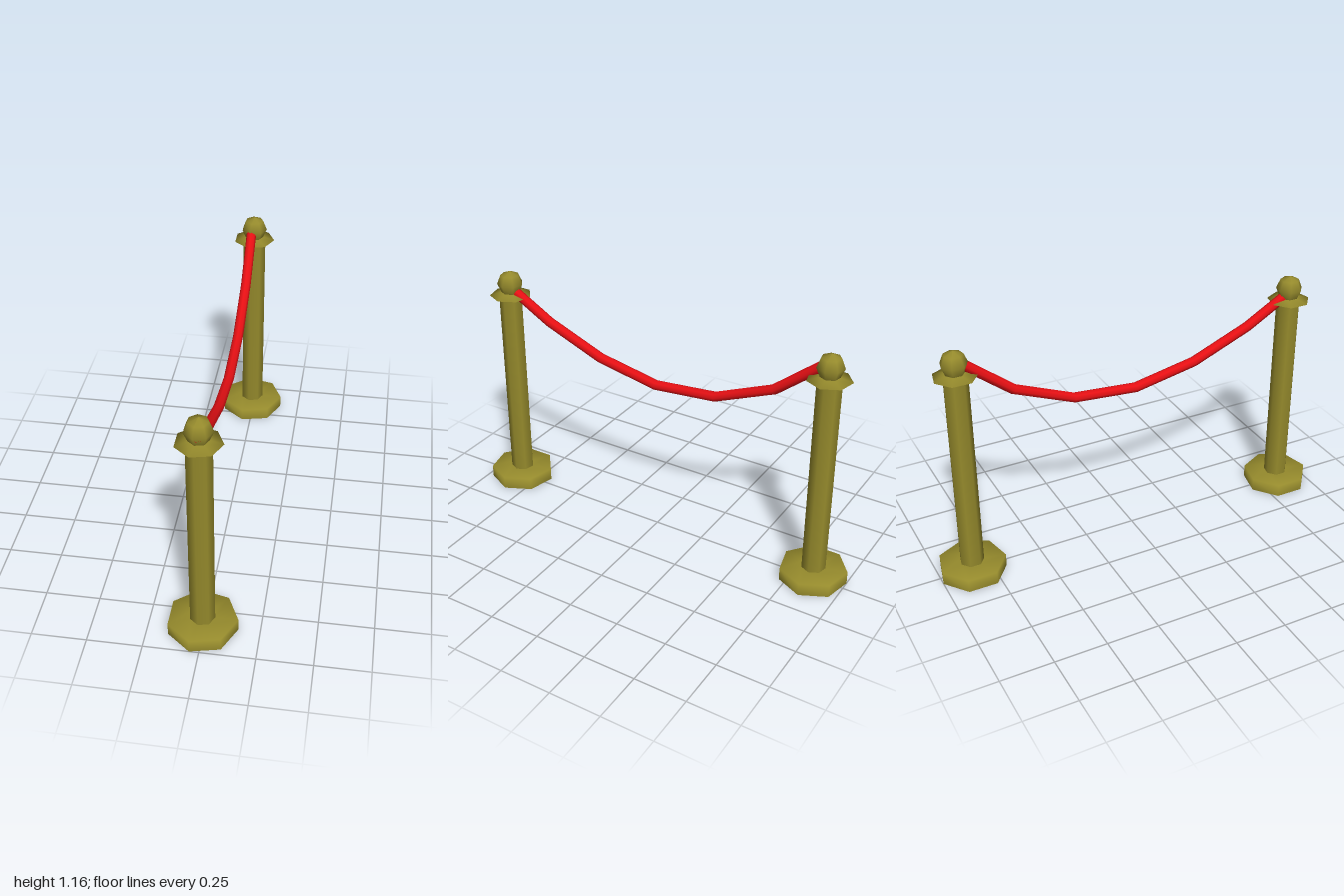
import * as THREE from 'three';

const SIDES = 7;
const brass = new THREE.MeshStandardMaterial({ color: 0x958a2c, side: THREE.DoubleSide });
const red = new THREE.MeshStandardMaterial({ color: 0xe81014, side: THREE.DoubleSide });

// Seven-sided turned part from [radius, height] pairs, with one corner on +x
function turned(name, profile) {
  const points = profile.map(([r, y]) => new THREE.Vector2(r, y));
  const mesh = new THREE.Mesh(new THREE.LatheGeometry(points, SIDES, Math.PI / 2), brass);
  mesh.name = name;
  return mesh;
}

function createStanchion(name) {
  const group = new THREE.Group();
  group.name = name;

  // Hollow foot, open underneath
  group.add(turned('base', [[0.16, 0], [0.16, 0.062], [0.057, 0.062]]));
  group.add(turned('post', [[0.057, 0.062], [0.057, 1.03]]));
  // Flared ring below the ball
  group.add(turned('collar', [[0.057, 1.024], [0.102, 1.041], [0.0445, 1.0565]]));

  // Ball, cut off where it meets the collar
  const ball = [];
  for (let i = 3; i >= 0; i--) {
    const a = i * Math.PI / 4;
    ball.push([0.063 * Math.sin(a), 1.1 + 0.063 * Math.cos(a)]);
  }
  group.add(turned('ball', ball));
  return group;
}

export function createModel() {
  const model = new THREE.Group();
  model.name = 'ropeBarrier';

  for (const [name, z] of [['frontStanchion', 0.844], ['backStanchion', -0.844]]) {
    const stanchion = createStanchion(name);
    stanchion.position.set(-0.008, 0, z);
    model.add(stanchion);
  }

  // Sagging rope in six straight lengths
  const path = new THREE.CatmullRomCurve3([
    [-0.008, 1.105, 0.89], [-0.009, 0.95, 0.62], [-0.011, 0.832, 0.33], [-0.012, 0.77, 0.015],
    [-0.014, 0.798, -0.3], [-0.016, 0.918, -0.59], [-0.018, 1.115, -0.835],
  ].map((p) => new THREE.Vector3(...p)));
  const rope = new THREE.Mesh(new THREE.TubeGeometry(path, 6, 0.024, 8, false), red);
  rope.name = 'rope';
  model.add(rope);

  return model;
}
